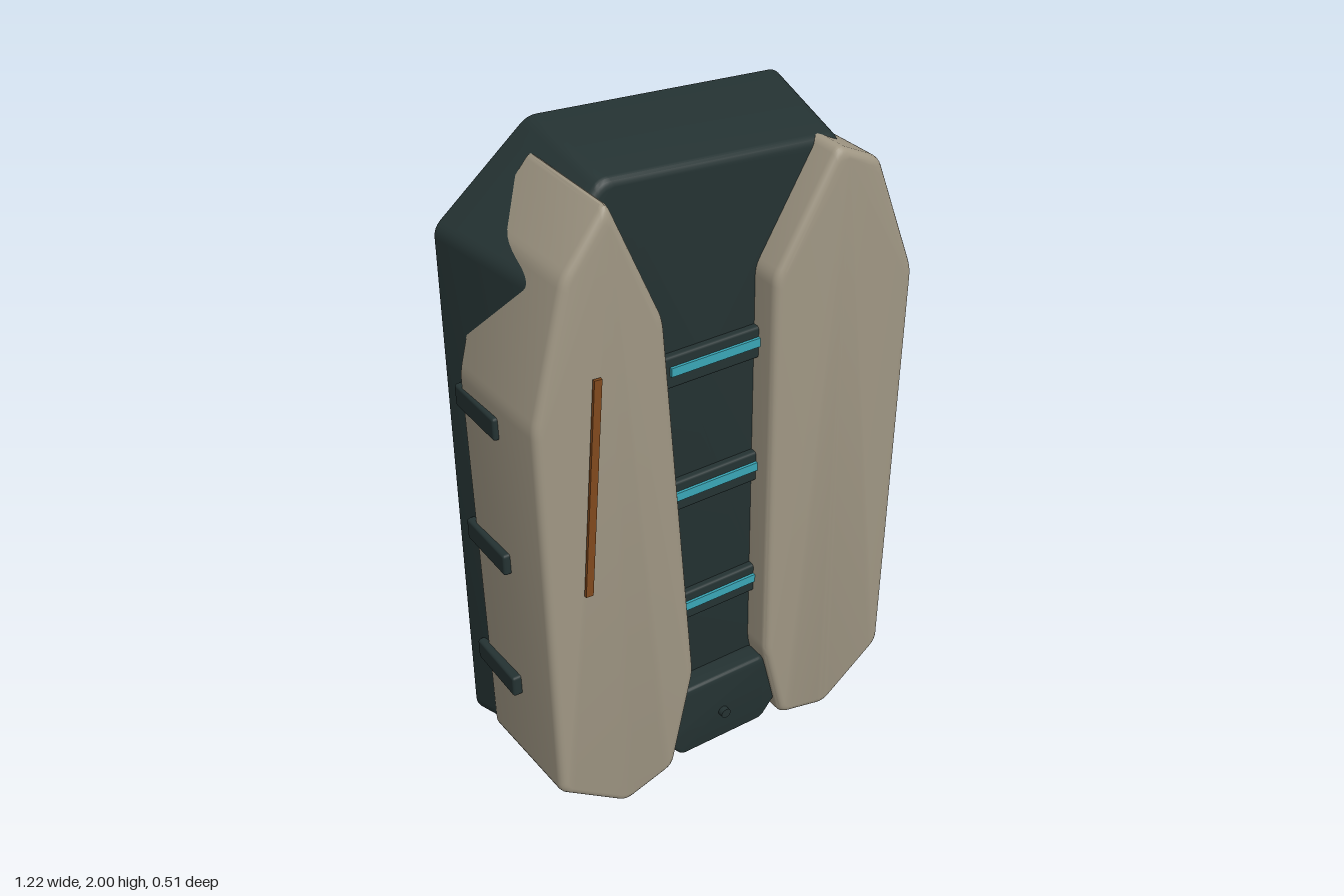
import * as THREE from 'three';
import { toCreasedNormals } from 'three/addons/utils/BufferGeometryUtils.js';
import { RoundedBoxGeometry } from 'three/addons/geometries/RoundedBoxGeometry.js';

const mat = (name, color) => {
  const m = new THREE.MeshStandardMaterial({ color });
  m.name = name;
  return m;
};

// Move every edge of a convex, counter-clockwise outline inwards by d.
function inset(pts, d) {
  const n = pts.length;
  return pts.map((p, i) => {
    const a = pts[(i + n - 1) % n], b = pts[(i + 1) % n];
    const u = p.clone().sub(a).normalize(), v = b.clone().sub(p).normalize();
    const n1 = new THREE.Vector2(-u.y, u.x), n2 = new THREE.Vector2(-v.y, v.x);
    return p.clone().addScaledVector(n1.clone().add(n2), d / (1 + n1.dot(n2)));
  });
}

// Replace every corner by a short curve.
function roundCorners(pts, r) {
  const n = pts.length, out = [];
  pts.forEach((p, i) => {
    const a = pts[(i + n - 1) % n], b = pts[(i + 1) % n];
    const s = p.clone().add(a.clone().sub(p).setLength(r));
    const e = p.clone().add(b.clone().sub(p).setLength(r));
    out.push(...new THREE.QuadraticBezierCurve(s, p, e).getPoints(4));
  });
  return out;
}

// Solid between a back and a front outline, with rounded rims.
function shell(back, front, z0, z1, bevelBack, bevelFront, corner = 0.025) {
  const A = back.map(p => new THREE.Vector2(...p));
  const B = front.map(p => new THREE.Vector2(...p));
  const layers = [];
  const add = (z, d) => {
    const t = (z - z0) / (z1 - z0);
    const ring = roundCorners(inset(A.map((p, i) => p.clone().lerp(B[i], t)), d), corner);
    layers.push(ring.map(p => [p.x, p.y, z]));
  };
  const steps = 4;
  for (let k = 0; k <= steps; k++) {
    const a = k / steps * Math.PI / 2;
    add(z0 + bevelBack * (1 - Math.cos(a)), bevelBack * (1 - Math.sin(a)));
  }
  for (let k = 0; k <= steps; k++) {
    const a = k / steps * Math.PI / 2;
    add(z1 - bevelFront * (1 - Math.sin(a)), bevelFront * (1 - Math.cos(a)));
  }
  const pos = [], n = layers[0].length;
  const tri = (...c) => c.forEach(p => pos.push(...p));
  for (let k = 0; k < layers.length - 1; k++) {
    const L = layers[k], U = layers[k + 1];
    for (let i = 0; i < n; i++) {
      const j = (i + 1) % n;
      tri(L[i], L[j], U[j]);
      tri(L[i], U[j], U[i]);
    }
  }
  const F = layers[layers.length - 1], K = layers[0];
  for (let i = 1; i < n - 1; i++) {
    tri(F[0], F[i], F[i + 1]);
    tri(K[0], K[i + 1], K[i]);
  }
  const g = new THREE.BufferGeometry();
  g.setAttribute('position', new THREE.Float32BufferAttribute(pos, 3));
  return toCreasedNormals(g, 0.5);
}

export function createModel() {
  const model = new THREE.Group();
  model.name = 'hardShellBackpack';
  const dark = mat('darkSlate', 0x243232);
  const beige = mat('warmBeige', 0xa09784);
  const cyan = mat('cyanGlow', 0x3aa6b6);
  const rust = mat('rustOrange', 0x80491d);

  const add = (name, geo, material, x = 0, y = 0, z = 0) => {
    const m = new THREE.Mesh(geo, material);
    m.name = name;
    m.position.set(x, y, z);
    model.add(m);
    return m;
  };

  // Tapered main body
  add('body', shell(
    [[-0.33, 2.003], [-0.605, 1.775], [-0.612, 0.22], [-0.39, 0], [0.36, 0], [0.592, 0.18], [0.612, 1.6], [0.42, 1.96]],
    [[-0.32, 1.95], [-0.51, 1.73], [-0.52, 0.26], [-0.35, 0.06], [0.33, 0.06], [0.51, 0.23], [0.52, 1.58], [0.37, 1.9]],
    -0.2, 0.135, 0.012, 0.02), dark);

  // Back pad
  add('backPad', new RoundedBoxGeometry(0.64, 1.67, 0.08, 3, 0.012), dark, 0, 1.005, -0.217);

  // Armour panels on the front, flared slightly to the back
  const panels = {
    rightPanel: { z: 0.242, pts: [[-0.37, 1.955], [-0.495, 1.79], [-0.592, 1.41], [-0.575, 0.2], [-0.365, 0.045], [-0.2, 0.1], [-0.128, 0.43], [-0.218, 1.6]] },
    leftPanel: { z: 0.225, pts: [[0.31, 1.915], [0.125, 1.6], [0.133, 0.36], [0.2, 0.08], [0.37, 0.04], [0.57, 0.2], [0.583, 1.5], [0.445, 1.85]] },
  };
  for (const [name, { z, pts }] of Object.entries(panels)) {
    const wide = pts.map(([x, y]) => [x + Math.sign(x) * (Math.abs(x) > 0.45 ? 0.014 : 0), y]);
    add(name, shell(wide, pts, -0.11, z, 0.004, 0.022), beige);
  }

  // Cross bars with light strips in the channel
  for (const y of [1.39, 0.995, 0.603]) {
    add('crossBar', new RoundedBoxGeometry(0.42, 0.095, 0.06, 2, 0.008), dark, 0.005, y - 0.005, 0.126);
    add('lightStrip', new THREE.BoxGeometry(0.3, 0.026, 0.009), cyan, 0, y, 0.1595);
  }

  // Side brackets
  for (const side of [-1, 1]) {
    for (const y of [1.33, 0.905, 0.48]) {
      add('sideBracket', new RoundedBoxGeometry(0.07, 0.066, 0.206, 2, 0.008), dark, side * 0.577, y, -0.038);
    }
  }

  // Lower clasp with its button
  const clasp = [[0.145, 0.325], [-0.145, 0.325], [-0.2, 0.15], [-0.145, 0.08], [0.145, 0.08], [0.2, 0.15]];
  add('clasp', shell(clasp, clasp, 0.1, 0.202, 0.004, 0.012, 0.015), dark);
  add('claspButton', new THREE.CylinderGeometry(0.016, 0.016, 0.03, 20).rotateX(Math.PI / 2), dark, 0, 0.185, 0.204);

  // Painted stripe on the right panel
  const stripe = add('accentStripe', new THREE.BoxGeometry(0.022, 0.642, 0.009), rust, -0.443, 1.19, 0.2515);
  stripe.rotation.z = -0.075;

  return model;
}
